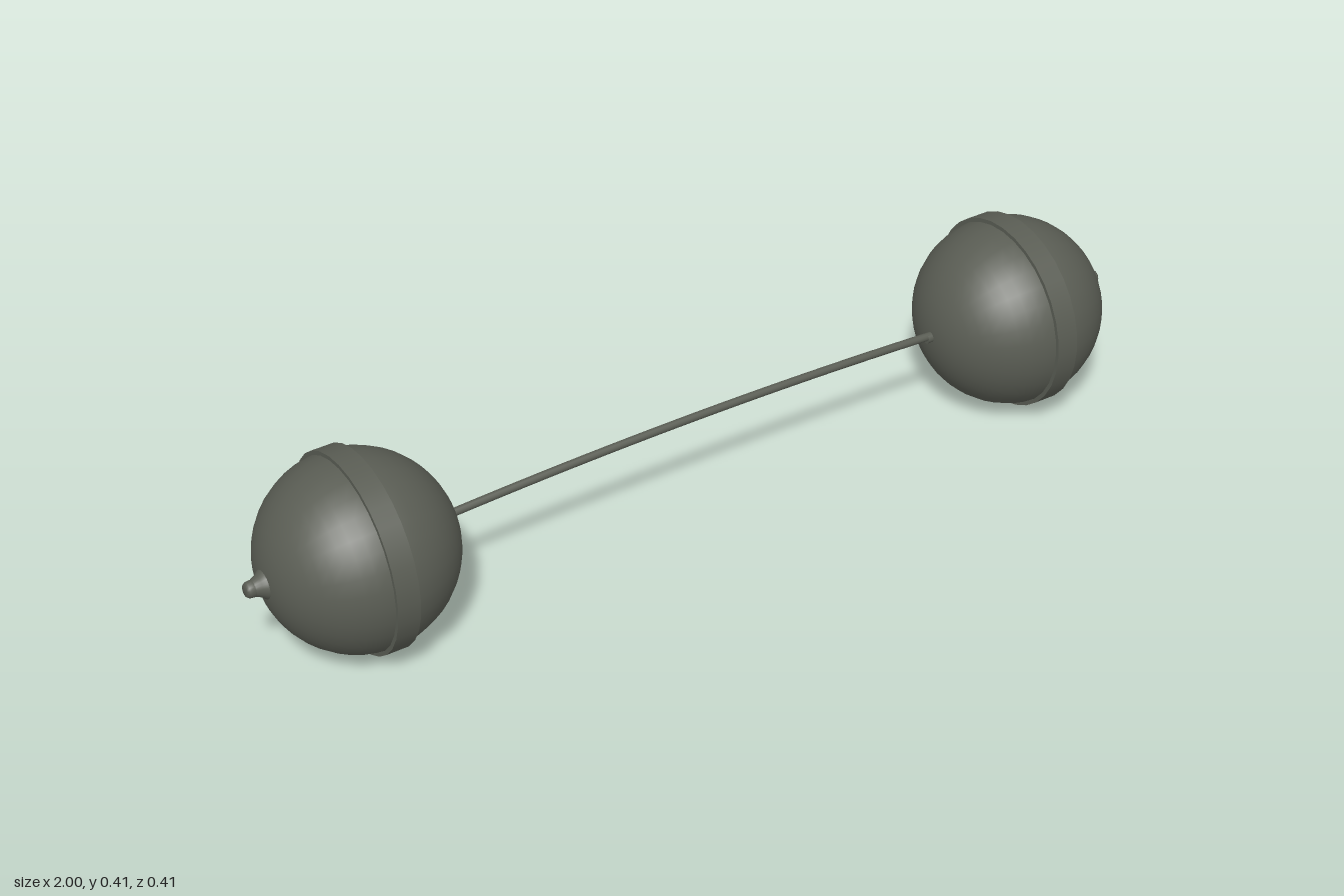
import * as THREE from 'three';

const CENTER_Y = 0.205;
const BALL_X = 0.766;

export function createModel() {
  const model = new THREE.Group();
  model.name = 'barbell';
  const iron = new THREE.MeshStandardMaterial({ color: 0x5a5d54 });
  iron.name = 'dark iron';

  const add = (parent, name, geometry) => {
    const mesh = new THREE.Mesh(geometry, iron);
    mesh.name = name;
    parent.add(mesh);
    return mesh;
  };
  // Turned part along +x: pairs of [distance along the axis, radius]
  const turned = (profile, sides) =>
    new THREE.LatheGeometry(profile.map(([x, r]) => new THREE.Vector2(r, x)), sides).rotateZ(-Math.PI / 2);

  // Weight built for the +x end; the other end is the same part turned around
  for (const [name, turn] of [['leftWeight', 0], ['rightWeight', Math.PI]]) {
    const weight = new THREE.Group();
    weight.name = name;
    weight.position.y = CENTER_Y;
    weight.rotation.y = turn;

    const ball = add(weight, 'ball', new THREE.SphereGeometry(0.198, 32, 24).rotateZ(-Math.PI / 2));
    ball.position.x = BALL_X;

    // Raised seam around the middle of the ball
    const band = add(weight, 'band', new THREE.CylinderGeometry(0.205, 0.205, 0.048, 32).rotateZ(-Math.PI / 2));
    band.position.x = BALL_X;

    // Flared end nut with a small button tip
    add(weight, 'endNut', turned([[0.95, 0.03], [0.964, 0.029], [0.972, 0.022], [0.985, 0.016]], 20));
    add(weight, 'endTip', turned([[0.98, 0.016], [0.985, 0.017], [0.995, 0.016], [1, 0.012], [1, 0]], 16));

    // Short sleeve where the bar enters the ball
    const collar = add(weight, 'collar', new THREE.CylinderGeometry(0.011, 0.011, 0.02, 16).rotateZ(-Math.PI / 2));
    collar.position.x = 0.567;
    model.add(weight);
  }

  // Slightly arched bar
  const arch = new THREE.QuadraticBezierCurve3(
    new THREE.Vector3(-0.62, CENTER_Y, 0),
    new THREE.Vector3(0, 0.241, 0),
    new THREE.Vector3(0.62, CENTER_Y, 0)
  );
  add(model, 'bar', new THREE.TubeGeometry(arch, 24, 0.0085, 12));

  return model;
}
